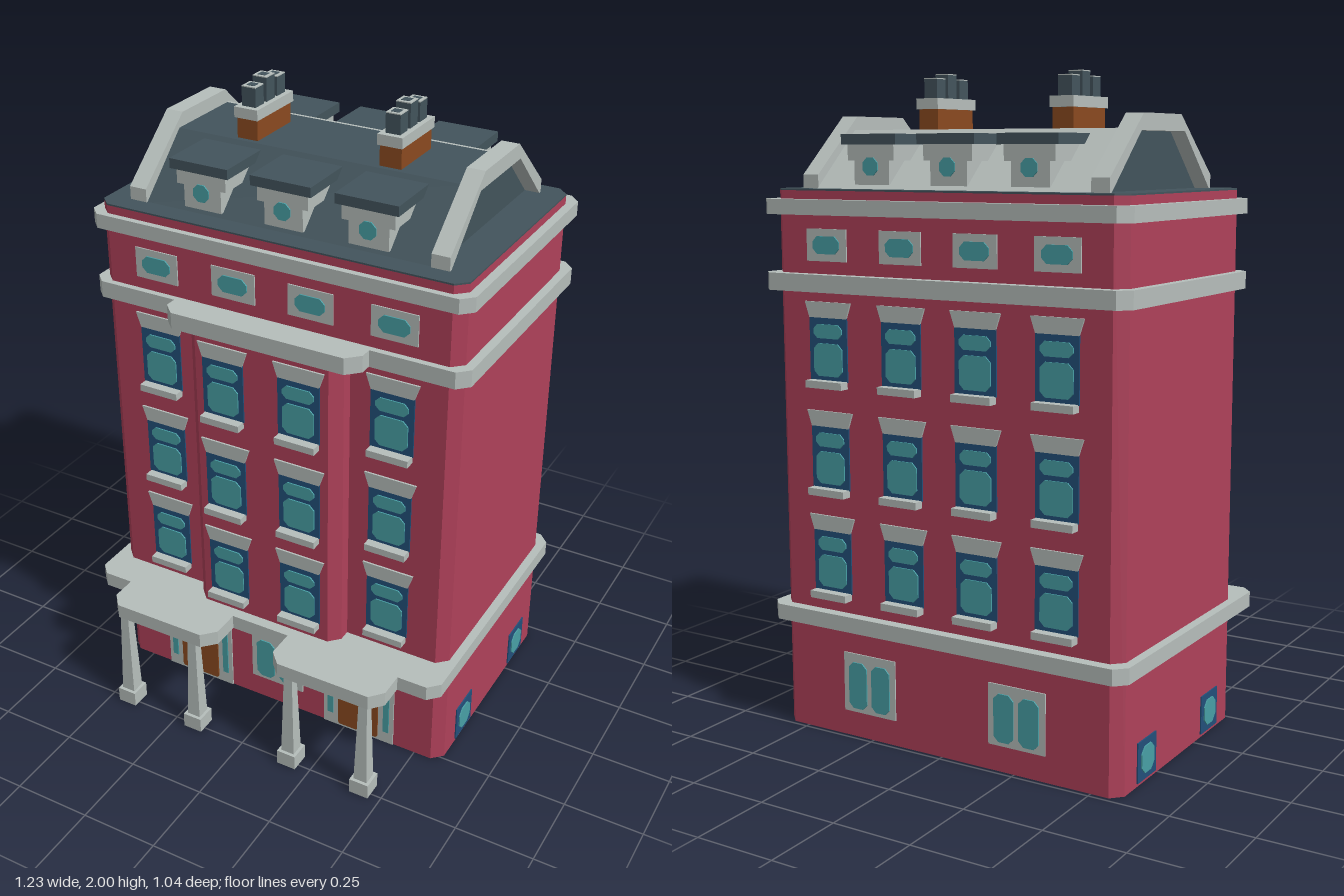
import * as THREE from 'three';

const mat = (name, color) => {
  const m = new THREE.MeshStandardMaterial({ color });
  m.name = name;
  return m;
};

export function createModel() {
  const model = new THREE.Group();
  model.name = 'townHouse';
  const brick = mat('redBrick', 0xb0415a), stone = mat('paleStone', 0xb6bebb);
  const slate = mat('slate', 0x43545c), navy = mat('navyFrame', 0x22507a);
  const glass = mat('tealGlass', 0x48a0a6), wood = mat('brownWood', 0x8b4a20);

  const add = (parent, name, geo, material) => {
    const mesh = new THREE.Mesh(geo, material);
    mesh.name = name;
    parent.add(mesh);
    return mesh;
  };
  const box = (parent, name, material, x0, x1, y0, y1, z0, z1) =>
    add(parent, name, new THREE.BoxGeometry(x1 - x0, y1 - y0, z1 - z0)
      .translate((x0 + x1) / 2, (y0 + y1) / 2, (z0 + z1) / 2), material);
  const shapeOf = pts => new THREE.Shape(pts.map(p => new THREE.Vector2(...p)));
  const extrude = (shape, depth) => new THREE.ExtrudeGeometry(shape, { depth, bevelEnabled: false });

  // Horizontal slab from half an [x, z] outline (front to back), mirrored in x
  const slab = (name, material, half, y0, y1) => {
    const other = half.map(([x, z]) => [-x, z]).reverse();
    add(model, name, extrude(shapeOf([...half, ...other]), y1 - y0)
      .rotateX(Math.PI / 2).translate(0, y1, 0), material);
  };
  // Prism along x from a [z, y] profile
  const prism = (name, material, shape, x0, x1) =>
    add(model, name, extrude(shape, x1 - x0).rotateY(-Math.PI / 2).translate(x1, 0, 0), material);
  // Thin plate with cut corners, facing +z
  const plate = (parent, name, material, x, y, w, h, z, c = 0) => {
    const a = w / 2, b = h / 2;
    const pts = c
      ? [[a - c, -b], [a, c - b], [a, b - c], [a - c, b], [c - a, b], [-a, b - c], [-a, c - b], [c - a, -b]]
      : [[a, -b], [a, b], [-a, b], [-a, -b]];
    add(parent, name, extrude(shapeOf(pts), 0.004).translate(x, y, z), material);
  };

  // Walls and bay
  const wall = [[0.557, 0.27], [0.59, 0.238], [0.59, -0.452], [0.557, -0.485]];
  slab('walls', brick, wall, 0, 1.655);
  slab('bay', brick, [[0.222, 0.34], [0.254, 0.307], [0.254, 0.2]], 0.37, 1.38);
  slab('roofLedge', slate, wall, 1.655, 1.66);

  // Stone bands
  const back = [[0.617, -0.485], [0.583, -0.52]];
  slab('topBand', stone, [[0.583, 0.29], [0.617, 0.256], ...back], 1.585, 1.63);
  slab('middleBand', stone, [[0.283, 0.366], [0.322, 0.327], [0.322, 0.29],
    [0.583, 0.29], [0.617, 0.256], ...back], 1.36, 1.412);
  slab('porchBand', stone, [[0.1, 0.375], [0.1, 0.465], [0.14, 0.507], [0.45, 0.507],
    [0.487, 0.465], [0.487, 0.385], [0.583, 0.385], [0.617, 0.35], ...back], 0.34, 0.388);

  // Windows
  const columns = [-0.39, -0.127, 0.127, 0.39];
  const sashWindow = (parent, x, y, z) => {
    const g = new THREE.Group();
    g.name = 'sashWindow';
    g.position.set(x, y, z);
    parent.add(g);
    plate(g, 'frame', navy, 0, 0.115, 0.138, 0.19, 0);
    plate(g, 'upperPane', glass, 0, 0.168, 0.104, 0.042, 0.004, 0.014);
    plate(g, 'lowerPane', glass, 0, 0.083, 0.104, 0.098, 0.004, 0.016);
    add(g, 'lintel', extrude(shapeOf([[-0.068, 0.208], [0.068, 0.208], [0.084, 0.255],
      [-0.084, 0.255]]), 0.006), stone);
    box(g, 'sill', stone, -0.066, 0.066, 0, 0.022, 0, 0.033);
  };
  const atticWindow = (parent, x, z) => {
    plate(parent, 'atticFrame', stone, x, 1.497, 0.145, 0.095, z);
    plate(parent, 'atticPane', glass, x, 1.497, 0.096, 0.052, z + 0.004, 0.016);
  };
  const doubleWindow = (parent, x, z) => {
    plate(parent, 'groundFrame', stone, x, 0.172, 0.19, 0.185, z);
    for (const s of [-1, 1])
      plate(parent, 'groundPane', glass, x + s * 0.042, 0.165, 0.066, 0.145, z + 0.004, 0.016);
  };
  const facade = (name, zOuter, zInner) => {
    const g = new THREE.Group();
    g.name = name;
    model.add(g);
    for (const x of columns) {
      for (const y of [0.428, 0.748, 1.075])
        sashWindow(g, x, y, Math.abs(x) < 0.2 ? zInner : zOuter);
      atticWindow(g, x, zOuter);
    }
    return g;
  };
  const front = facade('frontFacade', 0.27, 0.34);
  doubleWindow(front, 0, 0.27);
  const rear = facade('rearFacade', 0.485, 0.485);
  for (const x of [-0.26, 0.26]) doubleWindow(rear, x, 0.485);
  rear.rotation.y = Math.PI;

  // Small windows low on both side walls
  for (const s of [-1, 1]) {
    const side = new THREE.Group();
    side.name = 'sideWindows';
    side.rotation.y = s * Math.PI / 2;
    model.add(side);
    for (const z of [0.103, -0.322]) {
      plate(side, 'sideFrame', navy, -s * z, 0.07, 0.115, 0.12, 0.59);
      plate(side, 'sidePane', glass, -s * z, 0.07, 0.078, 0.08, 0.594, 0.02);
    }
  }

  // Doors with side lights, and porch columns
  for (const s of [-1, 1]) {
    const x = s * 0.3;
    plate(front, 'doorSurround', stone, x, 0.135, 0.25, 0.27, 0.27);
    plate(front, 'door', wood, x, 0.13, 0.142, 0.24, 0.274, 0.006);
    for (const d of [-0.1, 0.1]) plate(front, 'sideLight', glass, x + d, 0.145, 0.02, 0.2, 0.274);
    for (const cx of [0.175, 0.432]) {
      const px = s * cx;
      box(model, 'columnBase', stone, px - 0.032, px + 0.032, 0, 0.05, 0.457, 0.522);
      const shaft = new THREE.CylinderGeometry(0.02, 0.032, 0.3, 4, 1).rotateY(Math.PI / 4).toNonIndexed();
      shaft.computeVertexNormals();
      add(model, 'columnShaft', shaft.translate(px, 0.195, 0.489), stone);
    }
  }

  // Mansard roof with a pale rear slope
  prism('mansardRoof', slate, shapeOf([[0.207, 1.655], [0.02, 1.83], [-0.245, 1.83], [-0.43, 1.655]]), -0.47, 0.47);
  prism('rearSlope', stone, shapeOf([[-0.43, 1.66], [-0.245, 1.83], [-0.25, 1.832], [-0.436, 1.66]]), -0.46, 0.46);

  // Gable parapets framing the roof ends
  const gable = shapeOf([[0.207, 1.655], [0.207, 1.7], [0, 1.873], [-0.237, 1.873], [-0.432, 1.7], [-0.432, 1.655]]);
  gable.holes.push(new THREE.Path([[0.2, 1.657], [0.025, 1.825], [-0.25, 1.825], [-0.425, 1.657]]
    .map(p => new THREE.Vector2(...p))));
  prism('leftParapet', stone, gable, 0.46, 0.516);
  prism('rightParapet', stone, gable, -0.516, -0.46);

  // Dormers, front row and turned rear row
  const dormers = (name, zFace, zBack, turn) => {
    const g = new THREE.Group();
    g.name = name;
    g.rotation.y = turn;
    model.add(g);
    for (const x of [-0.268, 0, 0.268]) {
      box(g, 'dormerBody', stone, x - 0.062, x + 0.062, 1.672, 1.785, zBack, zFace - 0.005);
      box(g, 'dormerLintel', stone, x - 0.082, x + 0.082, 1.742, 1.788, zBack, zFace);
      plate(g, 'dormerPane', glass, x, 1.725, 0.052, 0.052, zFace, 0.015);
      box(g, 'dormerRoof', slate, x - 0.097, x + 0.097, 1.788, 1.818, zBack, zFace + 0.012);
    }
  };
  dormers('frontDormers', 0.204, 0.028, 0);
  dormers('rearDormers', 0.43, 0.255, Math.PI);

  // Chimney stacks with three pots each
  for (const x of [-0.232, 0.232]) {
    box(model, 'chimneyStack', wood, x - 0.034, x + 0.034, 1.825, 1.895, -0.185, 0.005);
    box(model, 'chimneyCap', stone, x - 0.039, x + 0.039, 1.893, 1.925, -0.193, 0.013);
    [-0.15, -0.09, -0.028].forEach((z, i) => {
      const top = i === 1 ? 2 : 1.986;
      box(model, 'chimneyPot', slate, x - 0.023, x + 0.023, 1.92, top - 0.004, z - 0.023, z + 0.023);
      box(model, 'potRim', stone, x - 0.023, x + 0.023, top - 0.004, top - 0.001, z - 0.023, z + 0.023);
      box(model, 'potMouth', slate, x - 0.013, x + 0.013, top - 0.002, top, z - 0.013, z + 0.013);
    });
  }
  return model;
}
